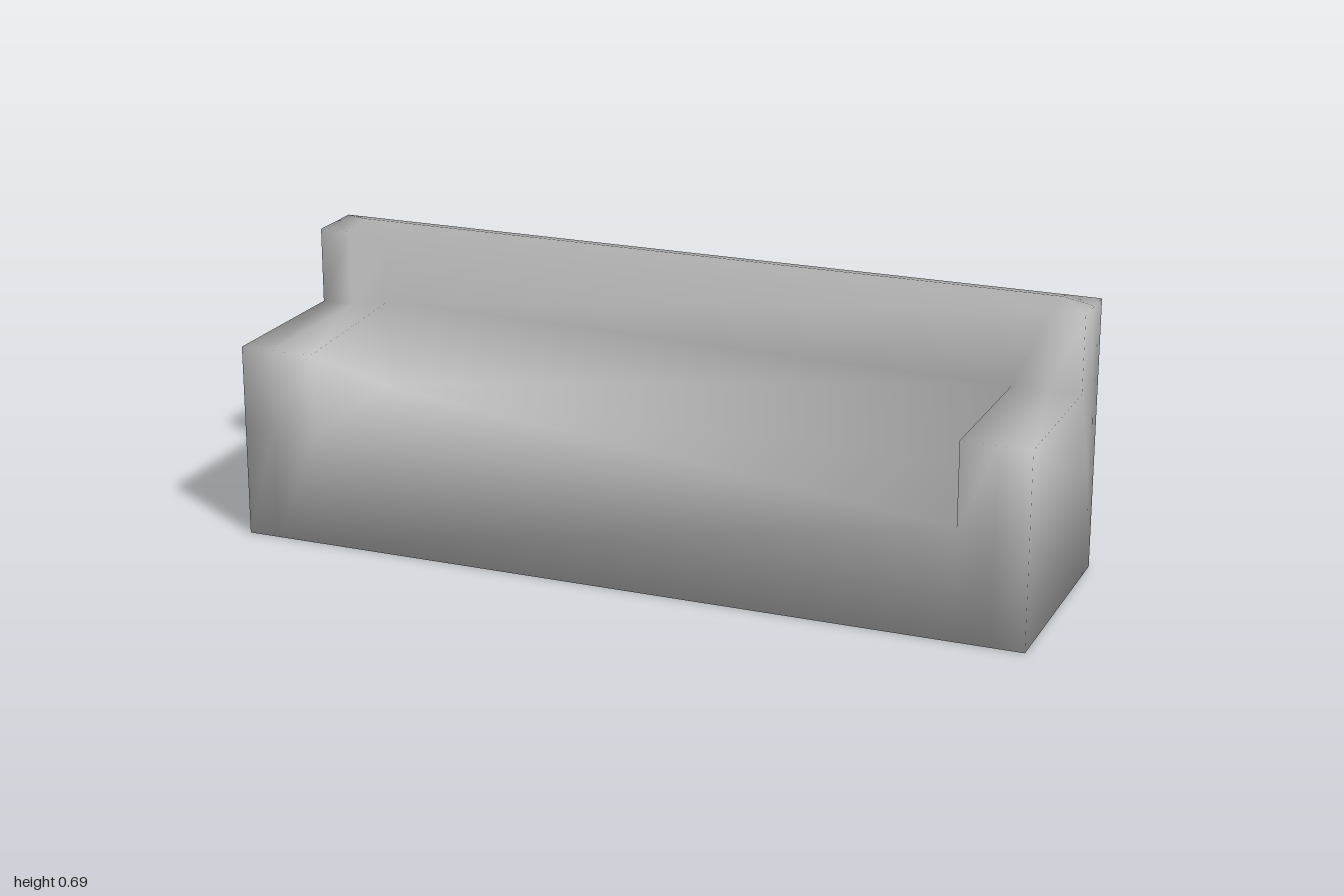
import * as THREE from 'three';

// Grid lines that cut the sofa into cells
const X = [-1, -0.92, -0.81, 0.83, 0.92, 1];
const Y = [0, 0.28, 0.488, 0.68];
const Z = [-0.285, -0.218, -0.135, 0.285];

// Which part fills a cell (null = empty)
function partAt(i, j, k) {
  if (i < 0 || j < 0 || k < 0 || i > 4 || j > 2 || k > 2) return null;
  if (k < 2) return 'backrest';
  if (j === 0) return 'seatBase';
  if (j === 1 && i < 2) return 'rightArm';
  if (j === 1 && i > 2) return 'leftArm';
  return null;
}

// Grid corner to position, with the ridged backrest top and the raised arm corner
function place(i, j, k) {
  let y = Y[j];
  if (j === 3 && k === 1 && i > 0 && i < 5) y = 0.695;
  if (j === 2 && k === 2 && i === 2) y = 0.511;
  return [X[i], y, Z[k]];
}

export function createModel() {
  const group = new THREE.Group();
  group.name = 'sofa';
  const material = new THREE.MeshStandardMaterial({ color: 0xaeaeae });
  const positions = [];
  const normals = [];
  const ids = new Map();
  const faces = { seatBase: [], backrest: [], leftArm: [], rightArm: [] };

  // Shared corners, so shading flows smoothly from part to part
  const vertex = (c) => {
    const key = c.join();
    if (!ids.has(key)) {
      ids.set(key, ids.size);
      positions.push(...place(...c));
      normals.push(0, 0, 0);
    }
    return ids.get(key);
  };

  // Keep only the outer faces of the filled cells
  for (let i = 0; i < 5; i++) for (let j = 0; j < 3; j++) for (let k = 0; k < 3; k++) {
    const part = partAt(i, j, k);
    if (!part) continue;
    for (let axis = 0; axis < 3; axis++) for (const side of [0, 1]) {
      const next = [i, j, k];
      next[axis] += side ? 1 : -1;
      if (partAt(...next)) continue;
      const quad = [[0, 0], [1, 0], [1, 1], [0, 1]].map(([u, v]) => {
        const c = [i, j, k];
        c[axis] += side;
        c[(axis + 1) % 3] += u;
        c[(axis + 2) % 3] += v;
        return vertex(c);
      });
      // Every face bends its corner normals equally, whatever its size
      for (const id of quad) normals[id * 3 + axis] += side ? 1 : -1;
      if (!side) quad.reverse();
      const [a, b, c, d] = quad;
      faces[part].push(a, b, c, a, c, d);
    }
  }

  const shell = new THREE.BufferGeometry();
  shell.setAttribute('position', new THREE.Float32BufferAttribute(positions, 3));
  shell.setAttribute('normal', new THREE.Float32BufferAttribute(normals, 3));
  shell.normalizeNormals();

  // One mesh per part, taken from the shell
  for (const [name, index] of Object.entries(faces)) {
    shell.setIndex(index);
    const mesh = new THREE.Mesh(shell.toNonIndexed(), material);
    mesh.name = name;
    group.add(mesh);
  }
  return group;
}
